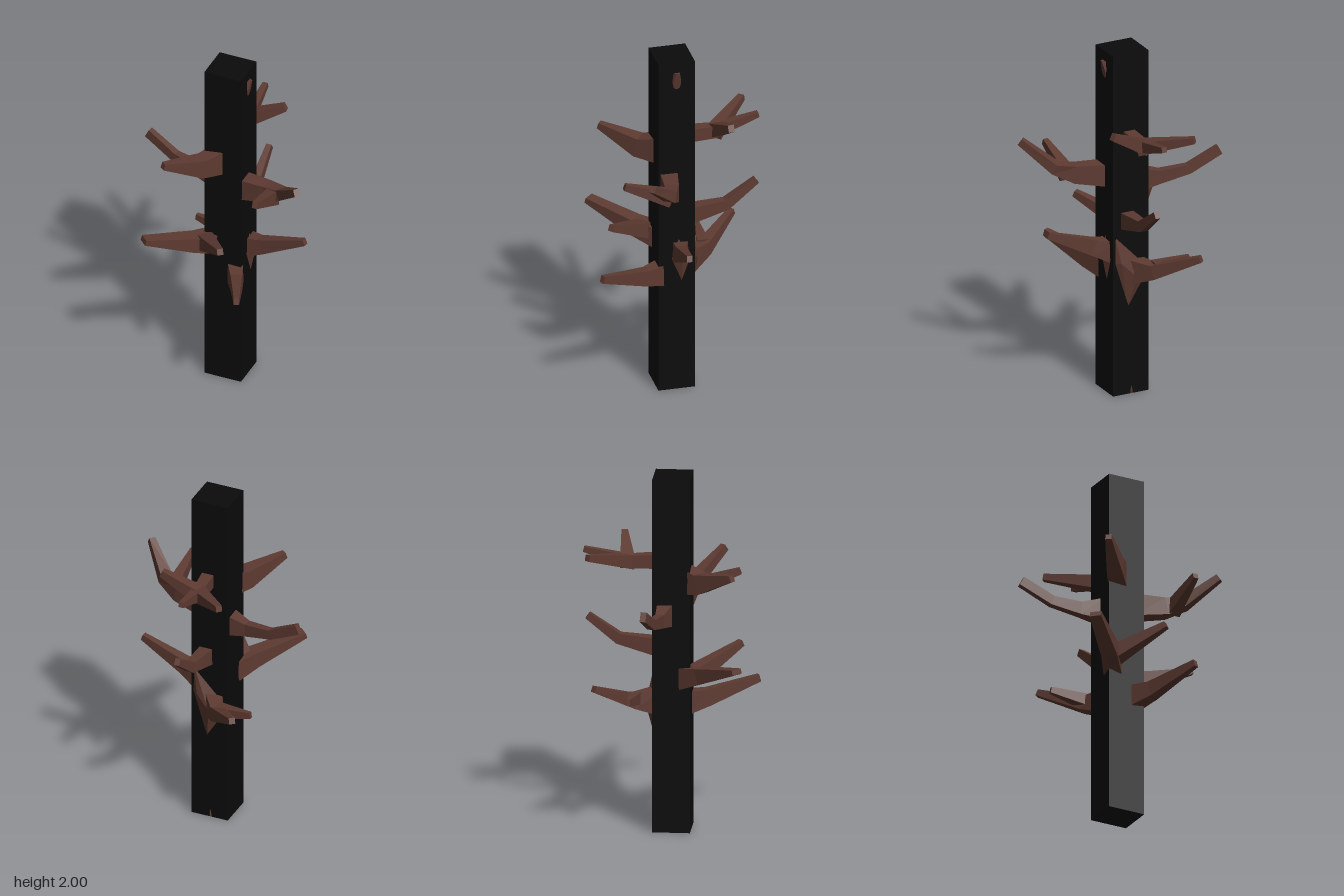
import * as THREE from 'three';
import { ConvexGeometry } from 'three/addons/geometries/ConvexGeometry.js';

const UP = new THREE.Vector3(0, 1, 0);

// Tapered four-sided limb; each station is [x, y, z, width, height]
function limbGeometry(stations) {
  const pts = stations.map(s => new THREE.Vector3(s[0], s[1], s[2]));
  const rings = stations.map(([, , , w, h], i) => {
    const dir = pts[Math.min(i + 1, pts.length - 1)].clone().sub(pts[Math.max(i - 1, 0)]).normalize();
    const side = dir.clone().cross(UP).normalize();
    const rise = side.clone().cross(dir);
    return [[-1, -1], [1, -1], [1, 1], [-1, 1]].map(([a, b]) =>
      pts[i].clone().addScaledVector(side, a * w / 2).addScaledVector(rise, b * h / 2));
  });
  const pos = [];
  const quad = (a, b, c, d) => [a, b, c, a, c, d].forEach(p => pos.push(p.x, p.y, p.z));
  for (let i = 0; i < rings.length - 1; i++) {
    for (let k = 0; k < 4; k++) {
      const n = (k + 1) % 4;
      quad(rings[i][k], rings[i + 1][k], rings[i + 1][n], rings[i][n]);
    }
  }
  const first = rings[0], last = rings[rings.length - 1];
  quad(first[0], first[1], first[2], first[3]);
  quad(last[3], last[2], last[1], last[0]);
  // Side and rise give a mirrored frame, so reverse each triangle to face outward
  for (let i = 0; i < pos.length; i += 9) {
    for (let j = 0; j < 3; j++) [pos[i + 3 + j], pos[i + 6 + j]] = [pos[i + 6 + j], pos[i + 3 + j]];
  }
  // Check the winding by signed volume and restore it if needed
  let volume = 0;
  const v = i => new THREE.Vector3(pos[i], pos[i + 1], pos[i + 2]);
  for (let i = 0; i < pos.length; i += 9) volume += v(i).dot(v(i + 3).cross(v(i + 6)));
  if (volume < 0) {
    for (let i = 0; i < pos.length; i += 9) {
      for (let j = 0; j < 3; j++) [pos[i + 3 + j], pos[i + 6 + j]] = [pos[i + 6 + j], pos[i + 3 + j]];
    }
  }
  const geo = new THREE.BufferGeometry();
  geo.setAttribute('position', new THREE.Float32BufferAttribute(pos, 3));
  geo.computeVertexNormals();
  return geo;
}

export function createModel() {
  const model = new THREE.Group();
  model.name = 'branchedPost';
  const black = new THREE.MeshStandardMaterial({ color: 0x0b0b0b });
  black.name = 'charcoalBlack';
  const brown = new THREE.MeshStandardMaterial({ color: 0x5d3a31 });
  brown.name = 'barkBrown';
  const add = (name, geo, mat) => {
    const mesh = new THREE.Mesh(geo, mat);
    mesh.name = name;
    model.add(mesh);
    return mesh;
  };

  // Square trunk
  add('trunk', new THREE.BoxGeometry(0.218, 2, 0.206), black).position.set(0.013, 1, 0.018);

  // Branches and their twigs
  const limbs = {
    leftLowerBranch: [[0.08, 0.83, -0.01, 0.1, 0.13], [0.2, 0.865, 0.012, 0.06, 0.09], [0.465, 0.972, 0.033, 0.03, 0.035]],
    leftUpperBranch: [[0.08, 1.26, 0.055, 0.1, 0.13], [0.27, 1.285, 0.085, 0.08, 0.1], [0.37, 1.32, 0.12, 0.07, 0.06], [0.515, 1.455, 0.255, 0.035, 0.04]],
    leftUpperTwig: [[0.31, 1.28, 0.1, 0.07, 0.09], [0.31, 1.38, 0.36, 0.03, 0.035]],
    frontUpperBranch: [[-0.02, 1.42, 0.08, 0.1, 0.15], [-0.09, 1.415, 0.18, 0.09, 0.11], [-0.235, 1.49, 0.365, 0.035, 0.035]],
    frontLowerBranch: [[0.07, 0.7, 0.08, 0.09, 0.13], [0.13, 0.715, 0.2, 0.065, 0.09], [0.25, 0.795, 0.47, 0.03, 0.04]],
    frontMiddleBranch: [[-0.05, 0.87, 0.08, 0.1, 0.12], [-0.13, 0.905, 0.19, 0.09, 0.09], [-0.335, 0.99, 0.4, 0.065, 0.03]],
    frontMiddleTwig: [[-0.08, 0.9, 0.15, 0.09, 0.09], [0.115, 1.03, 0.385, 0.035, 0.035]],
    rightBranch: [[-0.07, 1.23, -0.015, 0.09, 0.13], [-0.19, 1.225, -0.035, 0.05, 0.075], [-0.35, 1.25, -0.065, 0.04, 0.055], [-0.525, 1.342, -0.095, 0.033, 0.055]],
    backLowerBranch: [[0, 0.72, -0.06, 0.1, 0.15], [-0.08, 0.74, -0.19, 0.07, 0.08], [-0.26, 0.85, -0.39, 0.035, 0.035]],
    backLowerTwig: [[-0.08, 0.755, -0.18, 0.07, 0.07], [-0.285, 0.785, -0.198, 0.02, 0.035]],
    backMiddleBranch: [[0.035, 1.02, -0.06, 0.08, 0.1], [0.04, 1.06, -0.28, 0.05, 0.06], [0.04, 1.185, -0.45, 0.03, 0.04]],
    backUpperBranch: [[0.025, 1.51, -0.06, 0.07, 0.08], [0.015, 1.505, -0.22, 0.06, 0.07], [0.007, 1.57, -0.47, 0.03, 0.03]],
    backUpperLeftTwig: [[0, 1.5, -0.23, 0.08, 0.08], [0.217, 1.61, -0.265, 0.036, 0.04]],
    backUpperRightTwig: [[0.03, 1.5, -0.215, 0.08, 0.08], [-0.2, 1.575, -0.43, 0.035, 0.035]],
  };
  for (const [name, stations] of Object.entries(limbs)) add(name, limbGeometry(stations), brown);

  // Faceted flares where bark breaks through the trunk faces
  const flares = {
    leftFlare: [[0.115, 0.63, -0.01], [0.115, 0.79, -0.068], [0.115, 0.95, 0.012], [0.115, 0.8, 0.06], [0.15, 0.8, -0.01]],
    backFlare: [[0.03, 0.5, -0.08], [0.112, 0.95, -0.08], [0.115, 0.78, -0.08], [-0.07, 0.66, -0.08], [-0.05, 0.78, -0.08], [0.08, 0.78, -0.107], [0, 0.7, -0.13]],
    topStub: [[0.11, 1.78, 0.018], [0.11, 1.94, -0.006], [0.11, 1.94, 0.042], [0.142, 1.945, 0.012], [0.142, 1.945, 0.026], [0.127, 1.88, -0.006], [0.127, 1.88, 0.042]],
    footStub: [[0.01, 0.06, -0.08], [-0.004, 0.002, -0.08], [0.02, 0.002, -0.08], [0.008, 0.002, -0.09], [0.009, 0.04, -0.09]],
  };
  for (const [name, points] of Object.entries(flares)) {
    add(name, new ConvexGeometry(points.map(p => new THREE.Vector3(...p))), brown);
  }
  return model;
}
